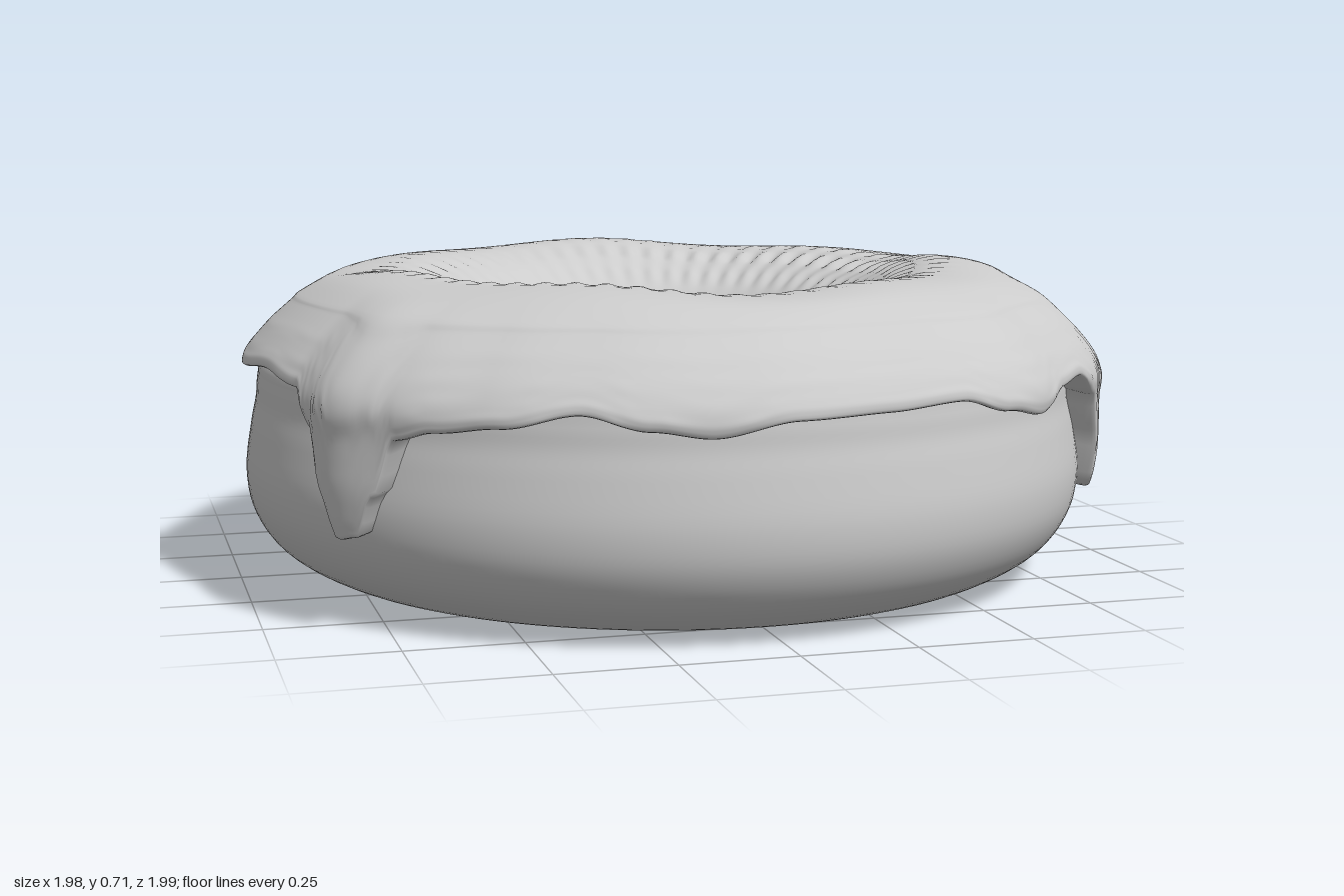
import * as THREE from 'three';

// Height of the icing's outer rim: angle in degrees (0 = +x, 90 = +z), y
const RIM = [
  [0, 0.44], [10, 0.455], [18, 0.44], [21.5, 0.39], [23.5, 0.3], [26, 0.2], [28, 0.22], [30, 0.34], [32.5, 0.43],
  [39, 0.485], [46, 0.475], [54, 0.435], [61, 0.455], [68, 0.485], [78, 0.475], [90, 0.47], [100, 0.44],
  [107, 0.455], [115, 0.485], [124, 0.455], [132, 0.44], [137, 0.42], [140, 0.3], [143, 0.21], [146, 0.2],
  [148.5, 0.3], [151, 0.42], [157, 0.49], [168, 0.51], [180, 0.495], [188, 0.51], [201, 0.49], [216, 0.46],
  [229, 0.42], [240, 0.435], [255, 0.43], [269, 0.41], [282, 0.42], [300, 0.44], [310, 0.455], [321, 0.51],
  [329, 0.53], [336, 0.52], [342, 0.47], [347, 0.425], [354, 0.43], [360, 0.44],
];

// Outer radius of the icing by angle
const SPREAD = [
  [0, 1], [15, 0.985], [27, 1.02], [44, 1], [57, 1.02], [78, 0.99], [95, 1], [113, 1.01], [126, 1.02],
  [137, 1.035], [145, 1.05], [158, 1.0], [180, 1], [202, 0.965], [225, 0.99], [252, 1], [270, 1],
  [288, 1], [304, 1], [310, 0.99], [329, 0.965], [339, 0.965], [360, 1],
];

// Radius of the icing's outside by height
const FLANK = [
  [0.15, 0.97], [0.2, 0.98], [0.3, 0.995], [0.42, 0.995], [0.47, 1], [0.5, 0.99],
  [0.54, 0.965], [0.59, 0.92], [0.65, 0.85],
];

function lookup(table, x, smooth) {
  let i = 0;
  while (i < table.length - 2 && x > table[i + 1][0]) i++;
  const [x0, y0] = table[i], [x1, y1] = table[i + 1];
  const t = THREE.MathUtils.clamp((x - x0) / (x1 - x0), 0, 1);
  return y0 + (y1 - y0) * (smooth ? t * t * (3 - 2 * t) : t);
}

const toVectors = (pairs) => pairs.map(([r, y]) => new THREE.Vector2(r, y));

// Dough ring with a pinched waist and a hole flaring towards the bottom
function doughGeometry() {
  const profile = toVectors([
    [0.4, 0.53], [0.385, 0.48], [0.375, 0.41], [0.39, 0.3], [0.44, 0.18], [0.52, 0.07], [0.61, 0.02],
    [0.7, 0.005], [0.8, 0.022], [0.9, 0.08], [0.955, 0.16], [0.97, 0.25], [0.957, 0.35], [0.945, 0.41],
    [0.94, 0.46], [0.925, 0.51], [0.84, 0.59], [0.68, 0.63], [0.5, 0.58], [0.4, 0.53],
  ]);
  const geometry = new THREE.LatheGeometry(new THREE.SplineCurve(profile).getPoints(90), 160);
  return geometry.translate(-0.01, 0, 0.02);
}

// Cross-section of the icing at one angle, from the hole over the top to the outer lip
function icingSection(deg) {
  const rim = lookup(RIM, deg, true), spread = lookup(SPREAD, deg, true);
  const a = THREE.MathUtils.degToRad(deg);
  const inner = 0.48 + 0.012 * Math.sin(5 * a) + 0.008 * Math.sin(11 * a + 1);
  const lump = 0.008 * Math.sin(3 * a + 0.5) + 0.006 * Math.sin(7 * a);
  const points = [
    [0.41, inner + 0.01], [0.38, inner - 0.008], [0.368, inner + 0.005], [0.375, 0.525], [0.42, 0.59],
    [0.5, 0.65 + lump / 2], [0.6, 0.692 + lump], [0.68, 0.7 + lump], [0.775, 0.686 + lump / 2],
  ];
  const steps = 9;
  for (let i = 0; i <= steps; i++) {
    const y = THREE.MathUtils.lerp(0.65, rim + 0.018, i / steps);
    points.push([lookup(FLANK, y, false) * spread, y]);
  }
  const edge = lookup(FLANK, rim, false) * spread;
  points.push([edge - 0.012, rim], [0.93, rim + 0.015]);
  return new THREE.SplineCurve(toVectors(points));
}

function icingGeometry() {
  const around = 480, across = 80, positions = [], index = [];
  for (let i = 0; i < around; i++) {
    const a = (i / around) * Math.PI * 2;
    const section = icingSection((i / around) * 360);
    for (let j = 0; j <= across; j++) {
      const p = section.getPoint(j / across);
      // Rows of small dimples around the inner slope
      const band = Math.max(0, 1 - Math.abs(p.x - 0.55) / 0.17) * THREE.MathUtils.smoothstep(p.y, 0.52, 0.62);
      const patch = 0.65 + 0.35 * Math.sin(2 * a + 3);
      const y = p.y + 0.009 * band * patch * Math.sin(60 * a) * (0.5 + 0.5 * Math.sin(p.x * 70));
      positions.push(p.x * Math.cos(a), y, p.x * Math.sin(a));
    }
  }
  const row = across + 1;
  for (let i = 0; i < around; i++) {
    const next = (i + 1) % around;
    for (let j = 0; j < across; j++) {
      const a = i * row + j, b = next * row + j;
      index.push(a, b, a + 1, b, b + 1, a + 1);
    }
  }
  const geometry = new THREE.BufferGeometry();
  geometry.setAttribute('position', new THREE.Float32BufferAttribute(positions, 3));
  geometry.setIndex(index);
  geometry.computeVertexNormals();
  // The hole sits slightly off centre while the outer edge stays in place
  const pos = geometry.attributes.position;
  for (let i = 0; i < pos.count; i++) {
    const r = Math.hypot(pos.getX(i), pos.getZ(i));
    const shift = 1 - THREE.MathUtils.smoothstep(r, 0.4, 0.9);
    pos.setX(i, pos.getX(i) - 0.018 * shift);
    pos.setZ(i, pos.getZ(i) + 0.012 * shift);
  }
  return geometry;
}

export function createModel() {
  const group = new THREE.Group();
  group.name = 'donut';
  const material = new THREE.MeshStandardMaterial({ color: 0xcccccc, side: THREE.DoubleSide });
  const parts = { dough: doughGeometry(), icing: icingGeometry() };
  for (const [name, geometry] of Object.entries(parts)) {
    const mesh = new THREE.Mesh(geometry, material);
    mesh.name = name;
    group.add(mesh);
  }
  return group;
}
